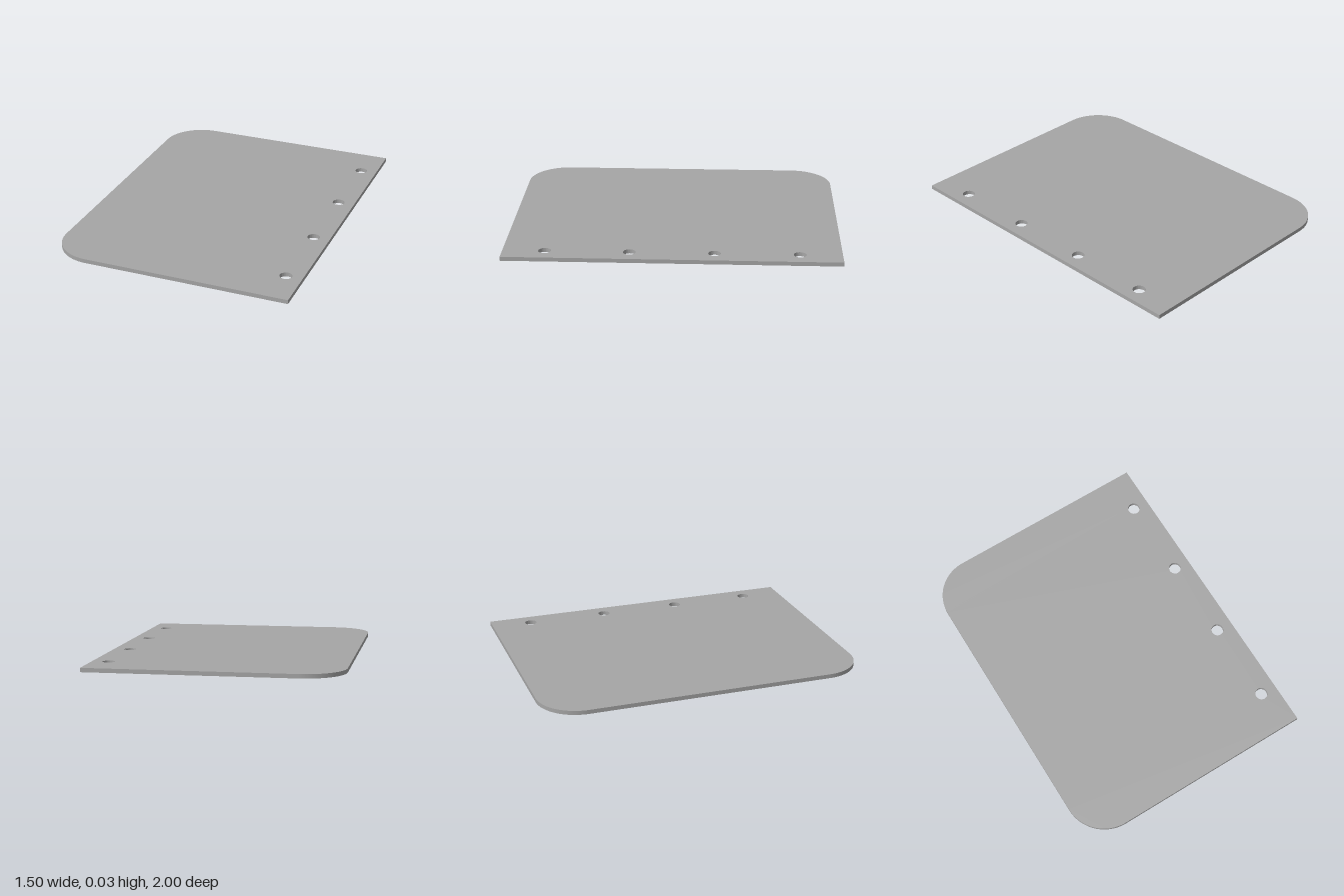
import * as THREE from 'three';
import { toCreasedNormals } from 'three/addons/utils/BufferGeometryUtils.js';

const HALF_WIDTH = 0.75, HALF_LENGTH = 1, THICKNESS = 0.025;
const CORNER = 0.25, HOLE_RADIUS = 0.0375, HOLE_X = 0.65;

export function createModel() {
  const group = new THREE.Group();
  group.name = 'mountingPlate';

  // Outline: square corners on the hole side, rounded on the other
  const outline = new THREE.Shape();
  outline.moveTo(HALF_WIDTH, -HALF_LENGTH);
  outline.lineTo(HALF_WIDTH, HALF_LENGTH);
  outline.lineTo(-HALF_WIDTH + CORNER, HALF_LENGTH);
  outline.absarc(-HALF_WIDTH + CORNER, HALF_LENGTH - CORNER, CORNER, Math.PI / 2, Math.PI);
  outline.lineTo(-HALF_WIDTH, -HALF_LENGTH + CORNER);
  outline.absarc(-HALF_WIDTH + CORNER, -HALF_LENGTH + CORNER, CORNER, Math.PI, Math.PI * 1.5);
  outline.closePath();

  // Row of four through holes
  for (const z of [-0.75, -0.25, 0.25, 0.75]) {
    const hole = new THREE.Path();
    hole.absarc(HOLE_X, z, HOLE_RADIUS, 0, Math.PI * 2, true);
    outline.holes.push(hole);
  }

  // Extrude and lay the plate flat on the ground
  const geometry = new THREE.ExtrudeGeometry(outline, {
    depth: THICKNESS, bevelEnabled: false, curveSegments: 24,
  });
  geometry.rotateX(-Math.PI / 2);

  const plate = new THREE.Mesh(
    toCreasedNormals(geometry, Math.PI / 6),
    new THREE.MeshStandardMaterial({ color: 0xa6a6a6 }),
  );
  plate.name = 'plate';
  group.add(plate);
  return group;
}
